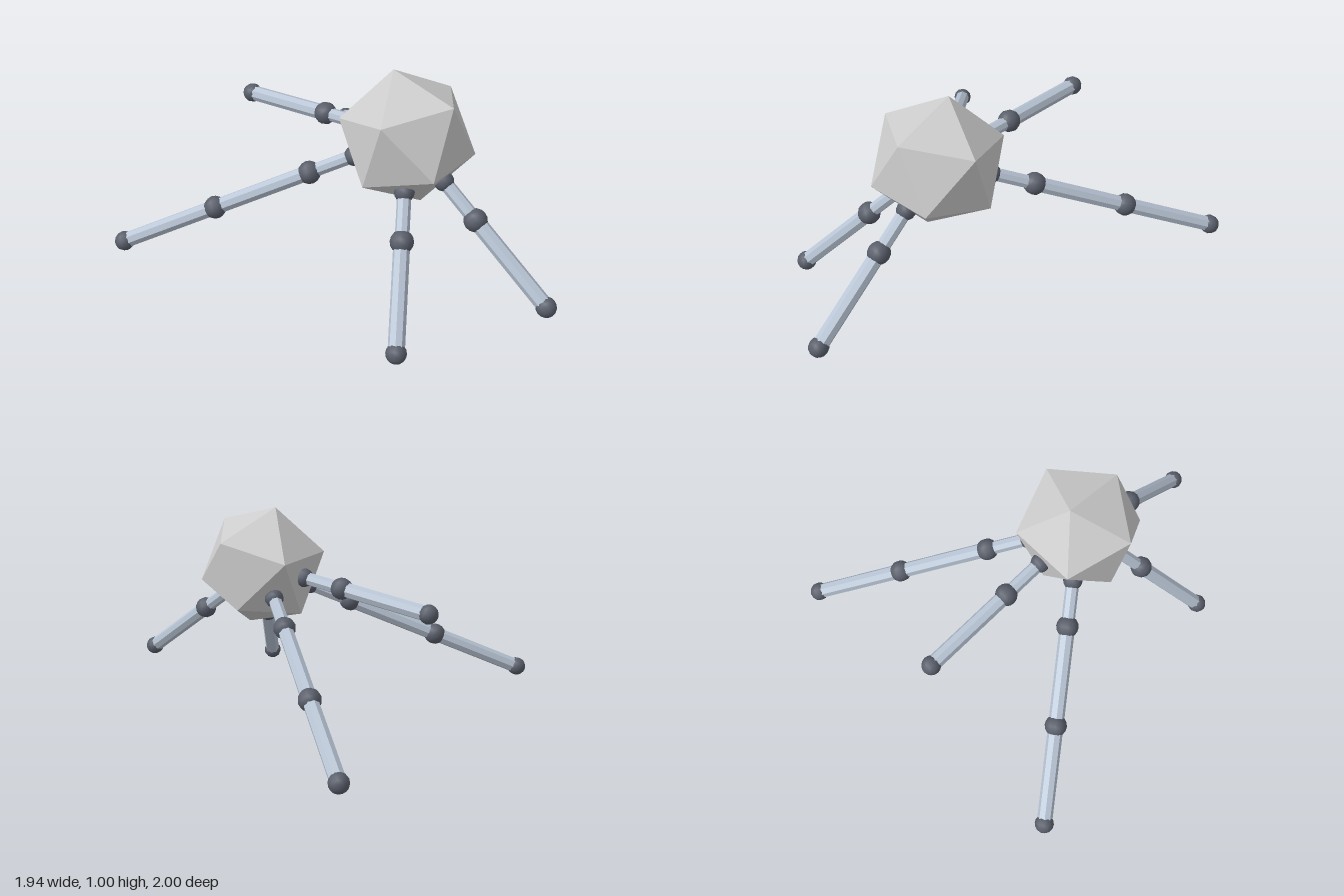
import * as THREE from 'three';

const CENTER = new THREE.Vector3(0.347, 0.715, 0.297);
const RADIUS = 0.306;
const SEGMENT = 0.465;

// Each leg leaves the body along a face normal: direction and number of segments from the body centre
const LEGS = [
  { name: 'rightLeg', dir: [-0.424, -0.186, -0.008], count: 3 },
  { name: 'backLeg', dir: [-0.08, -0.186, -0.42], count: 3 },
  { name: 'backRightLeg', dir: [-0.356, -0.043, -0.302], count: 2 },
  { name: 'frontLeg', dir: [-0.033, -0.333, 0.328], count: 2 },
  { name: 'frontLeftLeg', dir: [0.287, -0.279, 0.243], count: 2 },
];

export function createModel() {
  const model = new THREE.Group();
  model.name = 'walker';
  const shell = new THREE.MeshStandardMaterial({ color: 0xcccccc, flatShading: true });
  const metal = new THREE.MeshStandardMaterial({ color: 0xb8c4d4 });
  const dark = new THREE.MeshStandardMaterial({ color: 0x5a5f6b });
  metal.flatShading = true;

  const add = (parent, name, geometry, material, position) => {
    const mesh = new THREE.Mesh(geometry, material);
    mesh.name = name;
    mesh.position.copy(position);
    parent.add(mesh);
    return mesh;
  };

  // Icosahedral body, turned so one of its edges runs along the tilted x axis
  const body = add(model, 'body', new THREE.IcosahedronGeometry(RADIUS, 0), shell, CENTER);
  const x = new THREE.Vector3(0.241, -0.088, 0.195).normalize();
  const z = x.clone().cross(new THREE.Vector3(0.111, 0.498, 0.091)).normalize();
  const y = z.clone().cross(x);
  body.quaternion.setFromRotationMatrix(new THREE.Matrix4().makeBasis(x, y, z));

  const up = new THREE.Vector3(0, 1, 0);
  for (const { name, dir, count } of LEGS) {
    const leg = new THREE.Group();
    leg.name = name;
    model.add(leg);
    const d = new THREE.Vector3(...dir).normalize();
    const turn = new THREE.Quaternion().setFromUnitVectors(up, d);
    const at = (t) => CENTER.clone().addScaledVector(d, t);

    // Socket where the leg meets the body
    add(leg, 'socket', new THREE.SphereGeometry(0.045, 12, 8), dark, at(0.25)).quaternion.copy(turn);

    for (let i = 0; i < count; i++) {
      // Tube, the first one starting at the body face
      const start = i === 0 ? 0.24 : i * SEGMENT;
      const end = (i + 1) * SEGMENT;
      const r = i === 0 ? 0.031 : 0.036;
      const tube = new THREE.CylinderGeometry(r, r, end - start, 8);
      add(leg, 'tube', tube, metal, at((start + end) / 2)).quaternion.copy(turn);

      // Knee ball between tubes, smaller foot ball at the tip
      const last = i === count - 1;
      const ball = new THREE.SphereGeometry(last ? 0.045 : 0.052, 12, 8);
      add(leg, last ? 'foot' : 'knee', ball, dark, at(end)).quaternion.copy(turn);
    }
  }
  return model;
}
